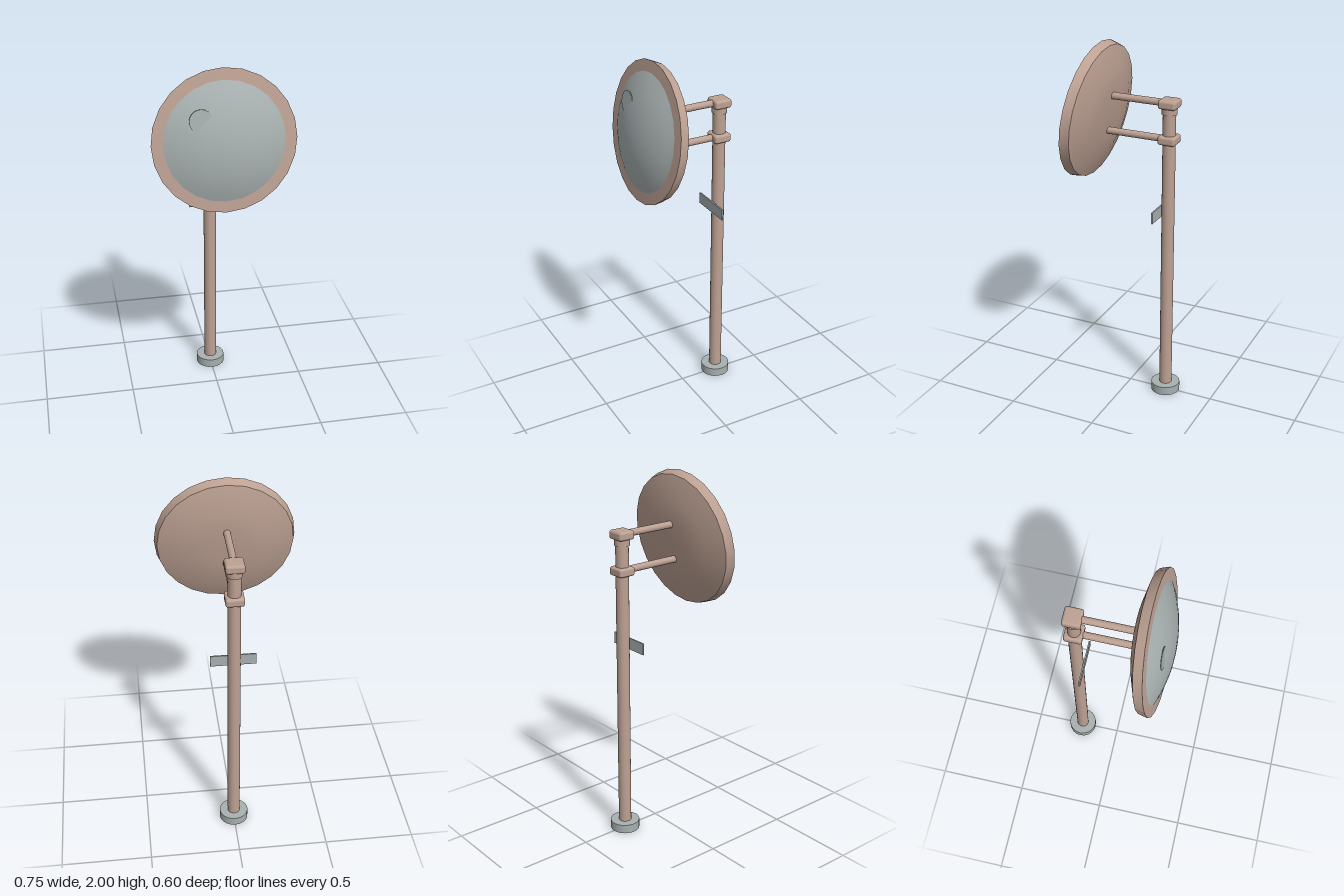
import * as THREE from 'three';
import { toCreasedNormals } from 'three/addons/utils/BufferGeometryUtils.js';
import { RoundedBoxGeometry } from 'three/addons/geometries/RoundedBoxGeometry.js';

export function createModel() {
  const model = new THREE.Group();
  model.name = 'roadMirror';

  const paint = new THREE.MeshStandardMaterial({ color: 0xbda193 });
  paint.name = 'dusty brown paint';
  const grey = new THREE.MeshStandardMaterial({ color: 0xa8b0b0 });
  grey.name = 'pale grey';
  const greyOpen = new THREE.MeshStandardMaterial({ color: 0xa8b0b0, side: THREE.DoubleSide });
  greyOpen.name = 'pale grey open shell';

  const POLE_Z = -0.222;

  function add(parent, name, geometry, material, x = 0, y = 0, z = 0) {
    const mesh = new THREE.Mesh(geometry, material);
    mesh.name = name;
    mesh.position.set(x, y, z);
    parent.add(mesh);
    return mesh;
  }

  // Lathe of [radius, height] points whose axis points to the front
  function dish(points, segments = 24) {
    const profile = points.map(([r, h]) => new THREE.Vector2(r, h));
    const geometry = new THREE.LatheGeometry(profile, segments).rotateX(Math.PI / 2);
    return toCreasedNormals(geometry, 0.6);
  }

  // Base collar, open underneath
  add(model, 'baseWall', new THREE.CylinderGeometry(0.081, 0.081, 0.05, 20, 1, true), greyOpen, 0, 0.025, POLE_Z);
  add(model, 'baseTop', new THREE.CircleGeometry(0.081, 20).rotateX(-Math.PI / 2), greyOpen, 0, 0.05, POLE_Z);

  // Pole and the collar below its cap
  add(model, 'pole', new THREE.CylinderGeometry(0.035, 0.035, 1.64, 20), paint, 0, 0.87, POLE_Z);
  add(model, 'poleCollar', new THREE.CylinderGeometry(0.041, 0.041, 0.035, 20), paint, 0, 1.673, POLE_Z);

  // Clamps with the arms that hold the mirror
  for (const [name, clampY, armY] of [['upper', 1.712, 1.713], ['lower', 1.518, 1.518]]) {
    add(model, name + 'Clamp', new RoundedBoxGeometry(0.1, 0.048, 0.098, 3, 0.014), paint, 0, clampY, POLE_Z);
    const arm = new THREE.CylinderGeometry(0.019, 0.019, 0.345, 16).rotateX(Math.PI / 2);
    add(model, name + 'Arm', arm, paint, 0, armY, -0.03);
  }

  // Small sign plate on the pole
  add(model, 'plate', new THREE.BoxGeometry(0.246, 0.064, 0.008), grey, 0, 1.107, -0.181);

  // Tilted mirror head
  const head = new THREE.Group();
  head.name = 'mirrorHead';
  head.position.set(0, 1.628, 0.22);
  head.rotation.x = -0.148;
  model.add(head);

  add(head, 'housing', dish([
    [0, -0.104], [0.12, -0.102], [0.235, -0.093], [0.363, -0.05], [0.376, 0], [0.314, 0.004],
  ]), paint);

  // Convex mirror face: a spherical cap
  const capRadius = 0.315, capHeight = 0.07;
  const sphere = (capRadius ** 2 + capHeight ** 2) / (2 * capHeight);
  const capPoints = [];
  for (let i = 0; i <= 8; i++) {
    const r = capRadius * (1 - i / 8);
    capPoints.push([r, Math.sqrt(sphere ** 2 - r ** 2) - sphere + capHeight + 0.004]);
  }
  add(head, 'mirrorFace', dish(capPoints), grey);

  // Thin glint disc half sunk into the mirror face
  add(head, 'glint', new THREE.CylinderGeometry(0.06, 0.06, 0.004, 20).rotateX(Math.PI / 2), grey, -0.127, 0.125, 0.054);

  return model;
}
